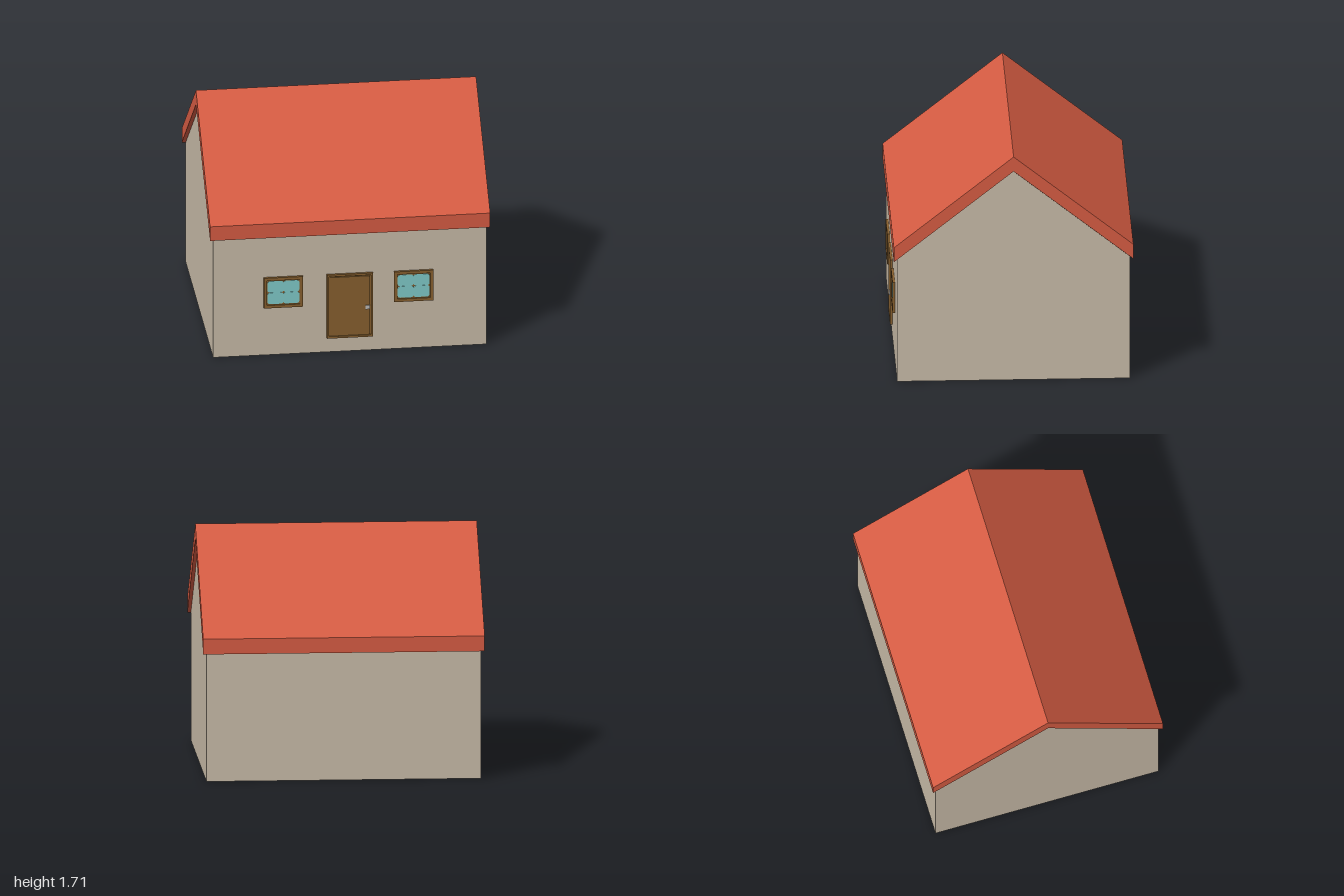
import * as THREE from 'three';

const mat = (name, color, side = THREE.FrontSide) => {
  const m = new THREE.MeshStandardMaterial({ color, side });
  m.name = name;
  return m;
};

export function createModel() {
  const plaster = mat('plaster', 0xc8bba8, THREE.DoubleSide);
  const tile = mat('roof red', 0xd65c43);
  const wood = mat('wood brown', 0x87602f);
  const glass = mat('glass teal', 0x80cbc9);
  const metal = mat('metal grey', 0xc0bcb8);

  const house = new THREE.Group();
  house.name = 'house';
  const add = (parent, name, geometry, material, x = 0, y = 0, z = 0) => {
    const mesh = new THREE.Mesh(geometry, material);
    mesh.name = name;
    mesh.position.set(x, y, z);
    parent.add(mesh);
    return mesh;
  };

  // Thin walls, open underneath
  const WX = 0.975, WZ = 0.825, EAVE = 0.935, PEAK = 1.59;
  add(house, 'frontWall', new THREE.PlaneGeometry(WX * 2, EAVE), plaster, 0, EAVE / 2, WZ);
  add(house, 'backWall', new THREE.PlaneGeometry(WX * 2, EAVE), plaster, 0, EAVE / 2, -WZ).rotation.y = Math.PI;
  const gable = new THREE.Shape([[-WZ, 0], [WZ, 0], [WZ, EAVE], [0, PEAK], [-WZ, EAVE]]
    .map(([x, y]) => new THREE.Vector2(x, y)));
  for (const s of [1, -1]) {
    add(house, s > 0 ? 'leftGableWall' : 'rightGableWall', new THREE.ShapeGeometry(gable), plaster, s * WX)
      .rotation.y = s * Math.PI / 2;
  }

  // Roof: one quarter with a recessed underside, mirrored four ways
  const R0 = [0, 1.71, 0], R1 = [1, 1.71, 0], E0 = [0, 1.03, 0.85], E1 = [1, 1.03, 0.85];
  const B0 = [0, 0.92, 0.85], B1 = [1, 0.92, 0.85], U1 = [1, 1.6, 0];
  const L0 = [0, 0.932, 0.82], L1 = [0.97, 0.932, 0.82], P1 = [0.97, 1.588, 0];
  const C0 = [0, 1.01, 0.82], C1 = [0.97, 1.01, 0.82], D0 = [0, 1.666, 0], D1 = [0.97, 1.666, 0];
  const quads = [
    [E0, E1, R1, R0], [B0, B1, E1, E0], [B1, U1, R1, E1], // slope, fascia, gable end
    [B0, L0, L1, B1], [B1, L1, P1, U1],                   // lower lip
    [L0, C0, C1, L1], [L1, C1, D1, P1], [C0, D0, D1, C1], // recess
  ];
  const pos = [];
  for (const sx of [1, -1]) for (const sz of [1, -1]) {
    for (const q of quads) {
      const [a, b, c, d] = sx * sz > 0 ? q : [...q].reverse();
      for (const p of [a, b, c, a, c, d]) pos.push(p[0] * sx, p[1], p[2] * sz);
    }
  }
  const roof = new THREE.BufferGeometry();
  roof.setAttribute('position', new THREE.Float32BufferAttribute(pos, 3));
  roof.computeVertexNormals();
  add(house, 'roof', roof, tile);

  // Rectangular frame with a hole, passing through the wall
  const rect = (shape, w, h) => {
    shape.moveTo(-w / 2, -h / 2).lineTo(w / 2, -h / 2).lineTo(w / 2, h / 2).lineTo(-w / 2, h / 2).closePath();
    return shape;
  };
  const frame = (w, h, border, depth) => {
    const shape = rect(new THREE.Shape(), w, h);
    shape.holes.push(rect(new THREE.Path(), w - border * 2, h - border * 2));
    return new THREE.ExtrudeGeometry(shape, { depth, bevelEnabled: false });
  };

  // Rounded window pane
  const PW = 0.116, PH = 0.088, PR = 0.02;
  const paneShape = new THREE.Shape();
  [[1, 1, 0], [-1, 1, 1], [-1, -1, 2], [1, -1, 3]].forEach(([sx, sy, k]) =>
    paneShape.absarc(sx * (PW / 2 - PR), sy * (PH / 2 - PR), PR, k * Math.PI / 2, (k + 1) * Math.PI / 2, false));
  const pane = new THREE.ExtrudeGeometry(paneShape, { depth: 0.004, bevelEnabled: false, curveSegments: 4 });

  // Windows: frame, backing and four panes
  for (const [name, x] of [['rightWindow', -0.475], ['leftWindow', 0.455]]) {
    const win = new THREE.Group();
    win.name = name;
    win.position.set(x, 0.487, WZ);
    add(win, 'windowFrame', frame(0.28, 0.235, 0.022, 0.043), wood, 0, 0, -0.025);
    add(win, 'windowBacking', new THREE.BoxGeometry(0.25, 0.2, 0.006), wood, 0, 0, 0.005);
    for (const sx of [1, -1]) for (const sy of [1, -1]) {
      add(win, 'windowPane', pane, glass, sx * 0.0565, sy * 0.0445, 0.007);
    }
    house.add(win);
  }

  // Door: frame, recessed panel and knob
  const door = new THREE.Group();
  door.name = 'door';
  door.position.set(0, 0.358, WZ);
  add(door, 'doorFrame', frame(0.33, 0.495, 0.015, 0.03), wood, 0, 0, -0.012);
  add(door, 'doorBacking', new THREE.BoxGeometry(0.31, 0.475, 0.004), wood, 0, 0, 0.003);
  add(door, 'doorPanel', new THREE.BoxGeometry(0.284, 0.455, 0.012), wood, 0, -0.002, 0.009);
  add(door, 'doorKnob', new THREE.BoxGeometry(0.032, 0.03, 0.012), metal, 0.125, -0.015, 0.019);
  house.add(door);

  return house;
}
